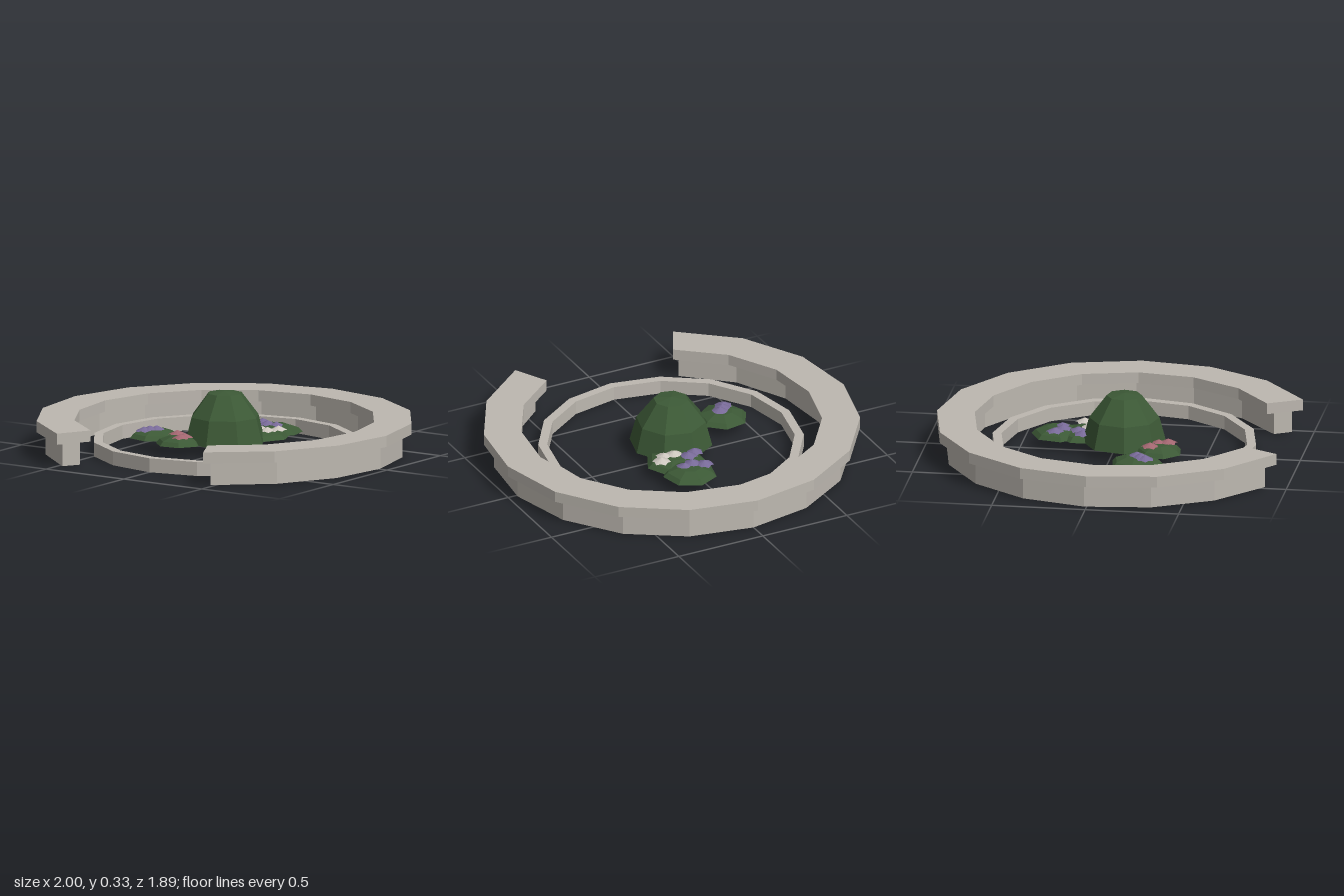
import * as THREE from 'three';

const CZ = 0.0586; // common centre of the rings

const mat = (name, color) => {
  const m = new THREE.MeshStandardMaterial({ color, flatShading: true, side: THREE.DoubleSide });
  m.name = name;
  return m;
};

// Polygon points on an arc, measured from the back towards +x
function arc(r, from, to, segs) {
  return Array.from({ length: segs + 1 }, (_, i) => {
    const a = THREE.MathUtils.degToRad(from + (to - from) * i / segs);
    return new THREE.Vector2(r * Math.sin(a), r * Math.cos(a));
  });
}

// Flat-sided ring, closed or open at the front, with or without an underside
function ring(name, material, rIn, rOut, y0, y1, half, segs, underside) {
  let shape;
  if (half === 180) {
    shape = new THREE.Shape(arc(rOut, 360, 0, segs).slice(0, -1));
    shape.holes.push(new THREE.Path(arc(rIn, 0, 360, segs).slice(0, -1)));
  } else {
    shape = new THREE.Shape([...arc(rOut, half, -half, segs), ...arc(rIn, -half, half, segs)]);
  }
  let geo = new THREE.ExtrudeGeometry(shape, { depth: y1 - y0, bevelEnabled: false });
  if (!underside) {
    // the first half of the lid triangles is the underside
    const kept = geo.attributes.position.array.slice(geo.groups[0].count / 2 * 3);
    geo = new THREE.BufferGeometry();
    geo.setAttribute('position', new THREE.BufferAttribute(kept, 3));
    geo.computeVertexNormals();
  }
  geo.rotateX(-Math.PI / 2);
  geo.translate(0, y0, CZ);
  const mesh = new THREE.Mesh(geo, material);
  mesh.name = name;
  return mesh;
}

// Open low-poly mound with a flattish crown
function mound(name, material, x, z, r, h, sides, turn) {
  const profile = [[1, 0], [0.84, 0.5], [0.42, 0.955], [0, 1]]
    .map(([a, b]) => new THREE.Vector2(r * a, h * b));
  const geo = new THREE.LatheGeometry(profile, sides, THREE.MathUtils.degToRad(turn));
  const mesh = new THREE.Mesh(geo, material);
  mesh.position.set(x, 0.06, z);
  mesh.name = name;
  return mesh;
}

// Small pleated blossom: a shallow cone whose rim alternates in and out
function blossom(material, x, y, z, turn) {
  const geo = new THREE.ConeGeometry(0.05, 0.025, 12, 1, true);
  const p = geo.attributes.position;
  for (let i = 0; i < p.count; i++) {
    if (p.getY(i) > 0) continue;
    const k = Math.round(Math.atan2(p.getX(i), p.getZ(i)) / (Math.PI / 6));
    if (k % 2 !== 0) p.setXYZ(i, p.getX(i) * 0.8, p.getY(i) + 0.005, p.getZ(i) * 0.8);
  }
  const mesh = new THREE.Mesh(geo, material);
  mesh.position.set(x, y, z);
  mesh.rotation.y = turn;
  mesh.name = 'blossom';
  return mesh;
}

export function createModel() {
  const group = new THREE.Group();
  group.name = 'roundFlowerBed';
  const stone = mat('pale stone', 0xbdb8b0);
  const leaf = mat('leaf green', 0x3c5936);
  const purple = mat('purple petals', 0x786a98);
  const pink = mat('pink petals', 0xa26670);
  const white = mat('white petals', 0xccc6be);

  // Seat wall with overhanging cap, and the low kerb inside it
  group.add(
    ring('benchWall', stone, 0.85, 0.952, 0, 0.125, 150, 14, false),
    ring('benchCap', stone, 0.80, 1.0015, 0.125, 0.185, 152, 14, true),
    ring('bedKerb', stone, 0.657, 0.705, 0, 0.075, 180, 16, false)
  );

  // Large shrub and the low bushes round it
  group.add(mound('largeShrub', leaf, 0, CZ, 0.222, 0.27, 8, 8));
  const bushes = [
    [-0.365, 0.178, 0.14, 164],
    [-0.15, 0.265, 0.128, -19],
    [0.08, -0.15, 0.165, 90],
    [0.075, -0.305, 0.145, 180],
  ];
  for (const [x, z, r, turn] of bushes) {
    group.add(mound('lowBush', leaf, x, z, r, 0.045, 7, turn));
  }

  // Blossom clusters
  const clusters = [
    ['leftPurpleFlowers', purple, [[-0.355, 0.18], [-0.40, 0.23], [-0.38, 0.205]]],
    ['pinkFlowers', pink, [[-0.19, 0.225], [-0.12, 0.26], [-0.11, 0.31]]],
    ['backPurpleFlowers', purple, [[-0.01, -0.31], [0.095, -0.285], [0.045, -0.275]]],
    ['middlePurpleFlowers', purple, [[0.025, -0.19], [-0.025, -0.16]]],
    ['whiteFlowers', white, [[0.18, -0.18], [0.14, -0.135], [0.085, -0.14]]],
  ];
  for (const [name, material, spots] of clusters) {
    const cluster = new THREE.Group();
    cluster.name = name;
    spots.forEach(([x, z], i) => cluster.add(blossom(material, x, 0.112 - 0.004 * (i % 2), z, i * 0.7)));
    group.add(cluster);
  }
  return group;
}
